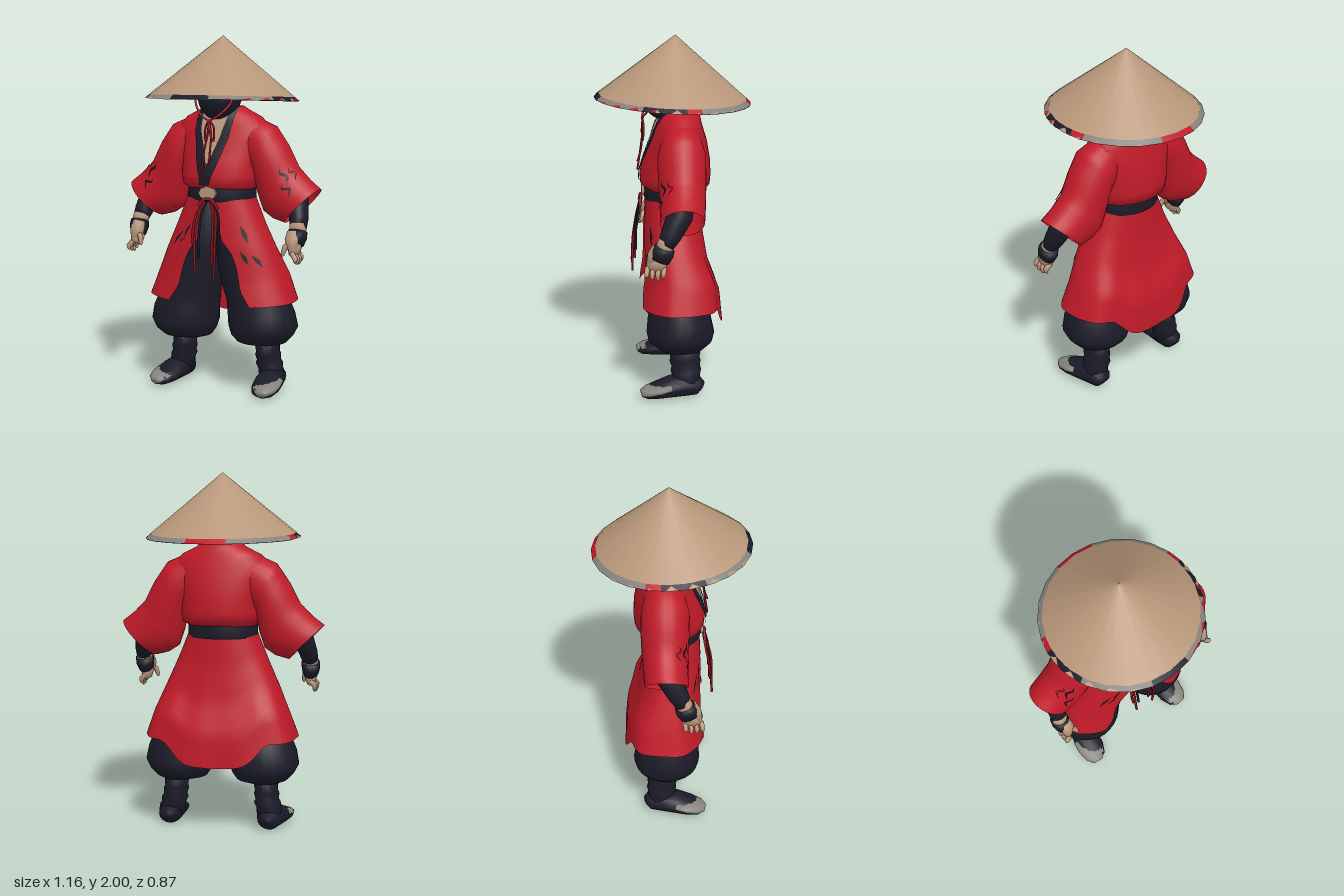
import * as THREE from 'three';

const paint = (name, color) => new THREE.MeshStandardMaterial({ name, color, side: THREE.DoubleSide });
const V = (x, y, z) => new THREE.Vector3(x, y, z);
const lerp = THREE.MathUtils.lerp, rad = THREE.MathUtils.degToRad;

// Skin a list of rings (each a list of points), optionally closed around and capped
function loft(rings, closed = true, caps = false) {
  if (caps) {
    const mid = r => { const c = V(0, 0, 0); r.forEach(p => c.add(p)); c.divideScalar(r.length); return r.map(() => c); };
    rings = [mid(rings[0]), ...rings, mid(rings[rings.length - 1])];
  }
  const n = rings[0].length, index = [];
  for (let i = 0; i < rings.length - 1; i++) {
    for (let j = 0; j < (closed ? n : n - 1); j++) {
      const k = (j + 1) % n, a = i * n, b = a + n;
      index.push(a + j, a + k, b + k, a + j, b + k, b + j);
    }
  }
  const g = new THREE.BufferGeometry().setFromPoints(rings.flat());
  g.setIndex(index);
  g.computeVertexNormals();
  return g;
}

// Horizontal ovals, bottom to top: [y, centreX, centreZ, radiusX, radiusZ, boxiness (1 = ellipse, less = boxier)]
const boxy = (c, p) => Math.sign(c) * Math.abs(c) ** p;
const ovals = (rows, n = 28, caps = false) => loft(rows.map(([y, cx, cz, rx, rz, p = 1]) =>
  Array.from({ length: n }, (_, j) => {
    const a = j / n * Math.PI * 2;
    return V(cx + rx * Math.sin(a), y, cz + rz * boxy(Math.cos(a), p));
  })), true, caps);

// Tapered limb along points [x, y, z, radiusU, radiusV]
function limb(pts, ref = V(0, 0, 1), n = 12) {
  const c = pts.map(p => V(p[0], p[1], p[2])), last = c.length - 1;
  return loft(pts.map((p, i) => {
    const t = c[Math.min(i + 1, last)].clone().sub(c[Math.max(i - 1, 0)]).normalize();
    const u = ref.clone().cross(t).normalize(), v = t.clone().cross(u);
    return Array.from({ length: n }, (_, j) => {
      const a = j / n * Math.PI * 2;
      return c[i].clone().addScaledVector(u, p[3] * Math.cos(a)).addScaledVector(v, (p[4] ?? p[3]) * Math.sin(a));
    });
  }), true, true);
}

// Interpolated row of an oval table, and the front depth of that shape at (x, y)
function rowAt(rows, y) {
  let i = 0;
  while (i < rows.length - 2 && y > rows[i + 1][0]) i++;
  const f = THREE.MathUtils.clamp((y - rows[i][0]) / (rows[i + 1][0] - rows[i][0]), 0, 1);
  return rows[i].map((v, k) => lerp(v, rows[i + 1][k], f));
}
function frontZ(rows, x, y) {
  const [, cx, cz, rx, rz, p] = rowAt(rows, y);
  return cz + rz * Math.max(0, 1 - ((x - cx) / rx) ** 2) ** (p / 2);
}

// Thin cloth strip between two (x, y) polylines, laid on the front of an oval shape
function strip(rows, left, right, off) {
  const along = (pts, f) => {
    const s = Math.min(f * (pts.length - 1), pts.length - 1.0001), i = Math.floor(s);
    return [0, 1].map(k => lerp(pts[i][k], pts[i + 1][k], s - i));
  };
  return loft(Array.from({ length: 13 }, (_, i) => {
    const l = along(left, 1 - i / 12), r = along(right, 1 - i / 12);
    return Array.from({ length: 6 }, (_, j) => {
      const x = lerp(l[0], r[0], j / 5), y = lerp(l[1], r[1], j / 5);
      return V(x, y, frontZ(rows, x, y) + off);
    });
  }), false);
}

const TORSO = [[1.15, 0, 0, .19, .15, .85], [1.175, 0, -.01, .225, .195, .85], [1.23, 0, -.01, .235, .2, .85], [1.32, 0, -.02, .235, .185, .85],
  [1.42, 0, -.03, .255, .157, .8], [1.5, 0, -.03, .272, .132, .8], [1.55, 0, -.035, .225, .115, .9], [1.59, 0, -.035, .145, .1, 1], [1.61, 0, -.03, .115, .085, 1]];
const SKIRT = [[.51, 0, -.03, .435, .245, .65], [.655, 0, -.035, .385, .225, .7], [.8, 0, -.007, .325, .186, .75], [.95, 0, .003, .26, .166, .85], [1.1, 0, .005, .2, .155, .9]];
const OPENING = [[.51, .25], [.6, .19], [.72, .165], [.8, .135], [.88, .07], [1.1, .03]];
const PANTS = [[.265, .255, -.045, .08, .09], [.28, .235, -.03, .145, .135], [.32, .24, -.025, .178, .18], [.37, .245, -.025, .2, .19],
  [.45, .235, -.02, .195, .178], [.52, .215, -.02, .185, .158], [.6, .19, 0, .18, .14], [.8, .12, 0, .15, .13], [1.08, .07, 0, .1, .125]];
// Sleeve sections: upper x, y, lower x, y, centre z, half depth
const SLEEVE = [[.12, 1.585, .15, 1.3, -.035, .1], [.31, 1.505, .2, 1.22, -.03, .132], [.385, 1.4, .22, 1.12, -.03, .13],
  [.445, 1.285, .25, 1.03, -.03, .125], [.515, 1.215, .31, .99, -.025, .122], [.58, 1.165, .385, .97, -.02, .118]];

function sleevePoint(s, a, grow = 0) {
  const i = Math.min(Math.floor(s), SLEEVE.length - 2);
  const [ux, uy, lx, ly, cz, rz] = SLEEVE[i].map((v, k) => lerp(v, SLEEVE[i + 1][k], s - i));
  const c = Math.cos(a) / 2 * (1 + grow);
  return V((ux + lx) / 2 + (ux - lx) * c, (uy + ly) / 2 + (uy - ly) * c, cz + rz * Math.sin(a) * (1 + grow));
}

function skirtGeometry() {
  const rings = [];
  for (let i = 0; i <= 16; i++) {
    const t = 1 - i / 16, level = lerp(1.1, .51, t);
    const [, , cz, rx, rz, p] = rowAt(SKIRT, level);
    const start = Math.asin(rowAt(OPENING, level)[1] / rx);
    rings.push(Array.from({ length: 57 }, (_, j) => {
      const a = lerp(start, Math.PI * 2 - start, j / 56), back = (1 - Math.cos(a)) / 2;
      const fold = 1 + .022 * t * back * Math.sin(9 * a + 1);
      const hem = .495 + .028 * Math.abs(Math.sin(a)) - .12 * THREE.MathUtils.smoothstep(-Math.cos(a), .7, .97);
      return V(rx * fold * Math.sin(a), lerp(1.1, hem, t), cz + rz * fold * boxy(Math.cos(a), p));
    }));
  }
  return loft(rings, false);
}

export function createModel() {
  const model = new THREE.Group();
  const straw = paint('straw', 0xb8977a), red = paint('red cloth', 0xbf1a28);
  const dark = paint('dark cloth', 0x1a1b28), grey = paint('worn grey', 0x86837d), cordRed = paint('cord red', 0x961824);
  const skin = paint('skin', 0xb8977c);
  const add = (name, geo, mat, parent = model) => {
    const m = new THREE.Mesh(geo, mat);
    m.name = name;
    parent.add(m);
    return m;
  };
  const cord = (name, pts, mat = cordRed, r = .006) =>
    add(name, new THREE.TubeGeometry(new THREE.CatmullRomCurve3(pts.map(p => V(...p))), 16, r, 5), mat);

  // Conical hat, tilted slightly back
  const hat = new THREE.Group();
  hat.name = 'hat';
  hat.position.set(0, 2, -.012);
  hat.rotation.x = -.045;
  model.add(hat);
  // Part of a cone between two radii, from one angle to another in degrees
  const ring = (name, r0, r1, height, y, from, to, mat) => add(name, new THREE.CylinderGeometry(r0, r1, height,
    Math.max(1, Math.round((to - from) / 15)), 1, true, rad(from), rad(to - from)).translate(0, y, 0), mat, hat);
  ring('hatCone', .002, .41, .333, -.1665, 0, 360, straw);
  [[0, 15, dark], [15, 65, grey], [65, 97, dark], [97, 108, red], [108, 165, grey], [165, 180, red]].forEach(([a, b, mat]) => {
    ring('hatRim', .41, .435, .022, -.344, a, b, mat);
    ring('hatRim', .41, .435, .022, -.344, 360 - b, 360 - a, mat);
  });
  ring('hatLining', .002, .435, .315, -.1975, -15, 75, red);
  ring('hatLining', .002, .435, .315, -.1975, 75, 345, straw);
  ring('liningPatch', .35, .434, .061, -.328, -30, 15, grey);
  ring('liningEdge', .4, .434, .025, -.346, 105, 255, dark);

  // Masked head with bare eye band and patches of cloth behind
  const patch = (name, r, mat, from, to, top, bottom) => add(name, new THREE.SphereGeometry(r, 24, 16,
    rad(from + 90), rad(to - from), top, bottom - top).scale(.94, 1.04, 1.1).translate(0, 1.66, .035), mat);
  patch('head', .125, dark, 0, 360, 0, Math.PI);
  patch('eyeBand', .128, skin, -100, 100, 1.0, 1.38);
  patch('hairPatch', .128, grey, 145, 215, .85, 1.75);
  patch('headCloth', .128, red, 105, 145, .85, 1.75);
  patch('headCloth', .128, red, 215, 255, .85, 1.75);
  add('neck', new THREE.CylinderGeometry(.08, .09, .14, 16).translate(0, 1.56, -.015), dark);
  for (const s of [-1, 1]) cord('chinStrap', [[s * .122, 1.7, .09], [s * .1, 1.62, .13], [s * .045, 1.56, .168], [0, 1.535, .172]], red, .006);

  // Robe top, open at the chest with dark lapels
  add('robeTop', ovals(TORSO, 36), red);
  add('chest', strip(TORSO, [[-.09, 1.58], [-.09, 1.5], [-.03, 1.3]], [[.09, 1.58], [.075, 1.5], [-.01, 1.3]], .004), skin);
  add('rightLapel', strip(TORSO, [[-.12, 1.6], [-.118, 1.48], [-.085, 1.32], [-.045, 1.18]],
    [[-.085, 1.6], [-.078, 1.48], [-.025, 1.32], [.0, 1.18]], .007), dark);
  add('leftLapel', strip(TORSO, [[.08, 1.6], [.045, 1.45], [.0, 1.32], [-.06, 1.18]],
    [[.115, 1.6], [.095, 1.45], [.055, 1.32], [.005, 1.18]], .009), dark);

  // Tied cord under the chin
  for (const s of [-1, 1]) {
    cord('bowLoop', [[0, 1.54, .17], [s * .025, 1.5, .165], [s * .022, 1.42, .17], [s * .006, 1.47, .175], [0, 1.54, .17]]);
    cord('bowTail', [[0, 1.54, .17], [s * .012, 1.45, .172], [s * .018 - .01, 1.36, .182], [s * .022 - .01, 1.27 + s * .03, .2]]);
  }

  // Belt with buckle and hanging cords
  add('belt', ovals([[1.085, 0, 0, .196, .163], [1.1, 0, 0, .2, .168], [1.165, 0, 0, .198, .168], [1.185, 0, 0, .192, .16]], 36), dark);
  add('buckle', new THREE.CylinderGeometry(.042, .042, .016, 8).rotateX(Math.PI / 2).scale(1.3, .9, 1).translate(-.01, 1.135, .172), straw);
  cord('beltKnot', [[-.06, 1.06, .19], [-.03, 1.1, .185], [.02, 1.1, .185], [.06, 1.05, .19]], cordRed, .009);
  [[-.06, .7, .235, cordRed], [-.04, .78, .225, dark], [-.075, .82, .22, cordRed],
    [.055, .67, .235, cordRed], [.035, .74, .22, cordRed], [.07, .8, .215, dark]].forEach(([x, y, z, mat], i) =>
    cord('beltCord', [[x * .3, 1.09, .18], [x * .9, 1.02, .195], [x * 1.1, lerp(1.02, y, .5), z - .01 + i * .002], [x, y, z]], mat, .0075));

  // Skirt of the robe with small tears
  add('skirt', skirtGeometry(), red);
  const tear = (x0, y0, x1, y1) => add('skirtTear', strip(SKIRT,
    [[x0, y0], [lerp(x0, x1, .5) - .012, lerp(y0, y1, .5)], [x1, y1]], [[x0, y0], [lerp(x0, x1, .5) + .012, lerp(y0, y1, .5) + .008], [x1, y1]], .006), dark);
  [[-.12, .96, -.17, .87], [-.17, .92, -.25, .82], [-.15, .88, -.2, .84],
    [.17, .96, .22, .86], [.18, .82, .23, .74], [.24, .8, .3, .73]].forEach(t => tear(...t));

  // Parts repeated on both sides
  for (const s of [1, -1]) {
    const side = new THREE.Group();
    side.name = s > 0 ? 'leftLimbs' : 'rightLimbs';
    side.scale.x = s;
    model.add(side);
    const put = (name, geo, mat) => add(name, geo, mat, side);

    // Wide sleeve with tears
    put('sleeve', loft(Array.from({ length: 16 }, (_, i) =>
      Array.from({ length: 24 }, (_, j) => sleevePoint(i / 3, j / 12 * Math.PI)))), red);
    [[2.5, 3.5, .95, dark], [3.2, 4.1, 1.2, dark], [2.8, 3.6, .6, cordRed]].forEach(([from, to, a, mat]) =>
      put('sleeveTear', loft(Array.from({ length: 9 }, (_, i) => {
        const w = .06 * Math.sin(i / 8 * Math.PI), at = lerp(from, to, i / 8), mid = a + .1 * Math.sin(i);
        return [-w, 0, w].map(d => sleevePoint(at, mid + d, .05));
      }), false), mat));

    // Arm, wrist, open-fronted glove and hand
    put('forearm', limb([[.36, 1.3, -.04, .06], [.41, 1.2, -.035, .064], [.455, 1.1, -.005, .06, .07], [.482, 1.0, .045, .052, .056], [.49, .955, .07, .045]]), dark);
    put('wrist', limb([[.486, .975, .062, .047], [.492, .925, .085, .045]]), skin);
    put('glove', limb([[.491, .942, .076, .052, .056], [.49, .91, .088, .053, .062], [.488, .872, .105, .042, .056]]), dark);
    put('handBack', limb([[.478, .94, .112, .036, .03], [.478, .9, .132, .042, .035], [.484, .85, .138, .03, .035]]), skin);
    put('palm', limb([[.488, .885, .105, .034, .048], [.486, .85, .118, .034, .055], [.488, .815, .124, .024, .05]]), skin);
    for (let i = 0; i < 4; i++) {
      const z = .078 + .03 * i, low = .765 + .012 * Math.abs(i - 1.3);
      put('finger', limb([[.488, .835, z, .015], [.515, .802, z + .006, .015], [.513, low + .01, z + .006, .012], [.505, low, z + .005, .007]], V(0, 0, 1), 6), skin);
    }
    put('thumb', limb([[.475, .885, .135, .018], [.446, .86, .155, .017], [.437, .825, .166, .012], [.437, .812, .168, .006]], V(0, 0, 1), 6), skin);

    // Baggy trouser leg
    put('trouserLeg', ovals(PANTS, 28, true), dark);

    // Boot with wrapped shaft and worn toe edge
    put('bootShaft', ovals([[.05, .29, -.06, .075, .075], [.12, .28, -.055, .07, .08], [.15, .272, -.055, .076, .087],
      [.165, .27, -.055, .066, .08], [.2, .266, -.05, .072, .088], [.215, .265, -.05, .065, .083], [.3, .258, -.05, .074, .09]], 18, true), dark);
    put('bootFoot', limb([[.285, .045, -.14, .035, .035], [.287, .058, -.12, .062, .056], [.295, .066, -.04, .076, .065],
      [.305, .06, .03, .08, .06], [.315, .044, .11, .08, .042], [.325, .034, .17, .062, .032], [.33, .028, .198, .025, .018]], V(0, 1, 0), 16), dark);
    put('wornToe', limb([[.312, .074, .035, .08, .026], [.32, .058, .1, .08, .028], [.327, .043, .165, .064, .027],
      [.331, .033, .202, .03, .018]], V(0, 1, 0), 16), grey);
  }
  return model;
}
